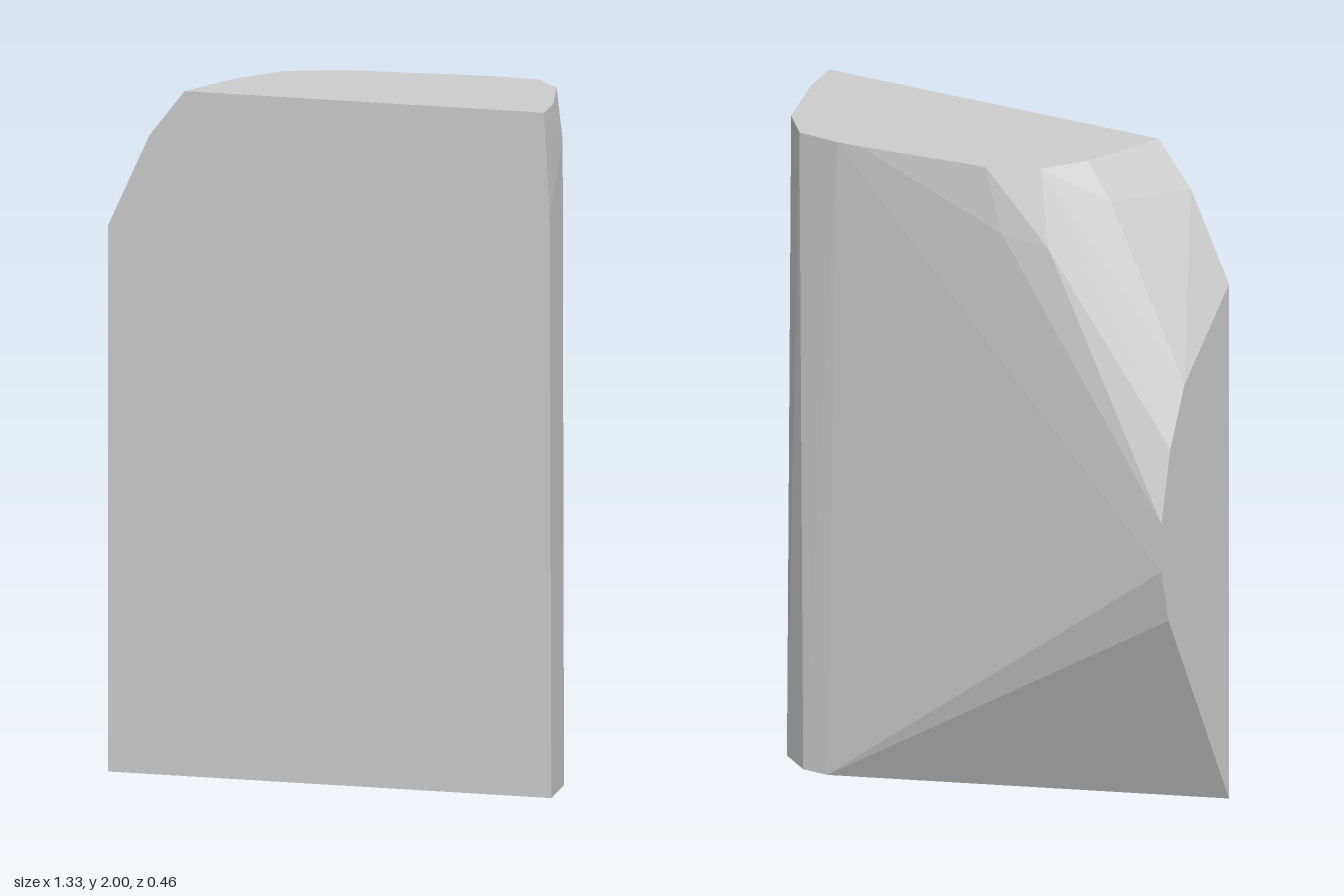
import * as THREE from 'three';
import { ConvexGeometry } from 'three/addons/geometries/ConvexGeometry.js';

// A faceted slab: flat front, flat top and left side, chamfered rear.
export function createModel() {
  const stone = new THREE.MeshStandardMaterial({ color: 0xcccccc });
  stone.name = 'pale grey';

  const H = 2, F = 0.23, S = -0.664;
  // top outline as [x, z]
  const top = [[-0.435, F], [-0.375, 0.08], [-0.335, -0.01], [-0.245, -0.13], [-0.1, -0.192],
    [0.29, -0.23], [0.36, -0.234], [0.49, -0.222], [0.57, -0.125], [0.628, 0.1], [0.64, F]];
  // bottom outline as [x, z]
  const bottom = [[S, F], [0.43, -0.167], [0.51, -0.163], [0.6, -0.095], [0.642, 0.04], [0.662, F]];
  // flat side outline as [y, z]
  const side = [[1.595, F], [1.38, -0.036], [1.21, -0.12], [1.0, -0.174], [0.85, -0.174], [0.683, -0.131]];
  // worn upper corners as [x, y, z]
  const corners = [[-0.54, 1.865, F], [-0.41, 1.888, -0.01], [-0.3, 1.78, -0.18],
    [-0.16, 1.81, -0.205], [0.657, 1.7, F], [0.632, 1.88, 0.02]];

  const points = [
    ...top.map(([x, z]) => [x, H, z]),
    ...bottom.map(([x, z]) => [x, 0, z]),
    ...side.map(([y, z]) => [S, y, z]),
    ...corners,
  ].map((p) => new THREE.Vector3(...p));

  const slab = new THREE.Mesh(new ConvexGeometry(points), stone);
  slab.name = 'slab';

  const model = new THREE.Group();
  model.name = 'facetedSlab';
  model.add(slab);
  return model;
}
